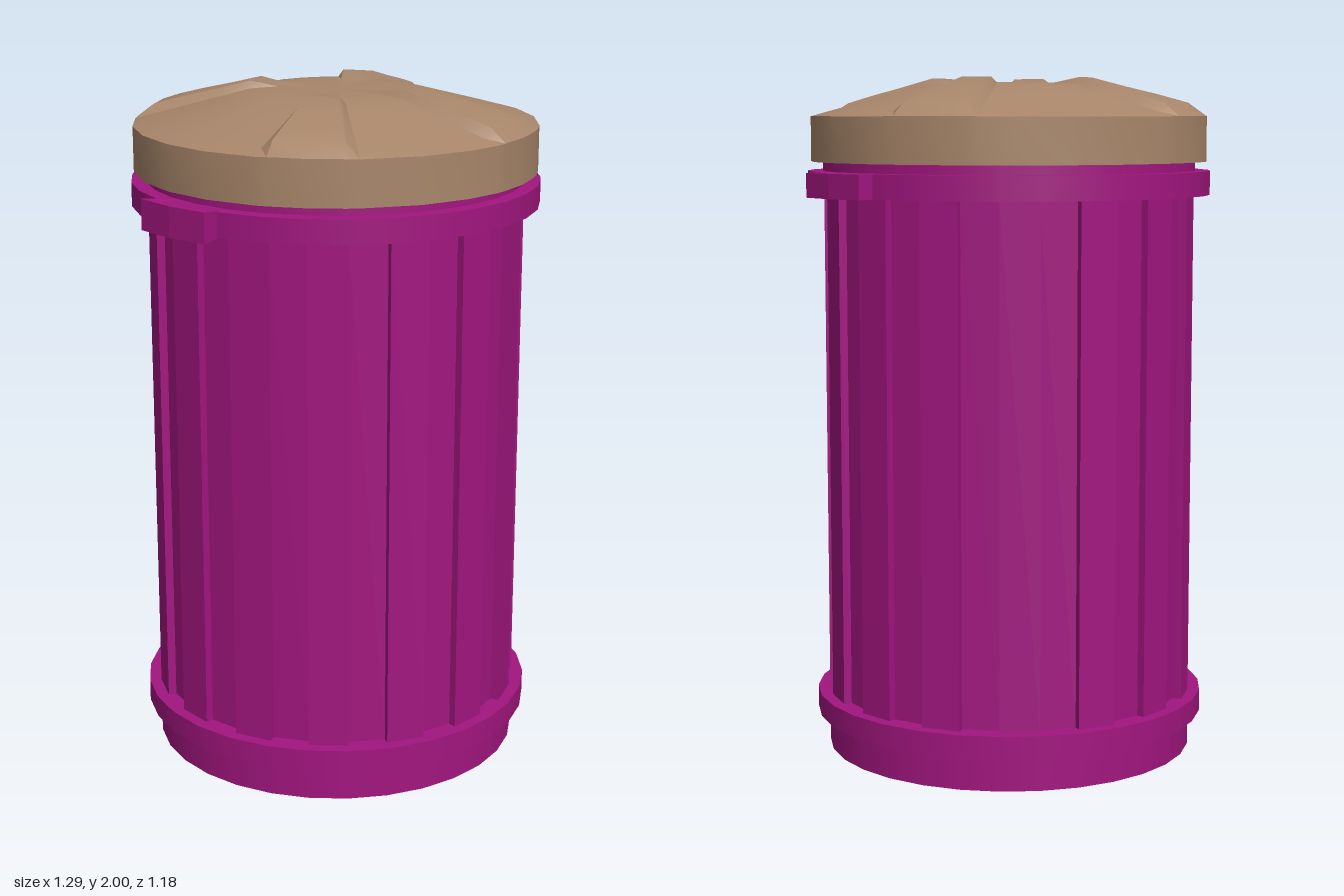
import * as THREE from 'three';
import { toCreasedNormals } from 'three/addons/utils/BufferGeometryUtils.js';

const rad = THREE.MathUtils.degToRad;

export function createModel() {
  const group = new THREE.Group();
  const bodyMat = new THREE.MeshStandardMaterial({ color: 0xa2167f });
  const lidMat = new THREE.MeshStandardMaterial({ color: 0xa8866a });

  function add(name, geometry, material) {
    const mesh = new THREE.Mesh(geometry, material);
    mesh.name = name;
    group.add(mesh);
  }

  // Upright extrusion of [x, z] plan points between two heights
  function prism(points, y0, y1) {
    const shape = new THREE.Shape(points.map(([x, z]) => new THREE.Vector2(x, -z)));
    return new THREE.ExtrudeGeometry(shape, { depth: y1 - y0, bevelEnabled: false })
      .rotateX(-Math.PI / 2).translate(0, y0, 0);
  }

  // Round sections: name, radius, bottom, top
  for (const [name, r, y0, y1] of [
    ['base', 0.547, 0, 0.11],
    ['lowerBand', 0.582, 0.105, 0.17],
    ['upperBand', 0.594, 1.66, 1.73],
    ['neck', 0.55, 1.72, 1.77],
  ]) {
    const ring = new THREE.CylinderGeometry(r, r, y1 - y0, 30, 1, false, Math.PI / 30);
    add(name, ring.translate(0, (y0 + y1) / 2, 0), bodyMat);
  }

  // Fluted wall: fifteen flat slats alternating with fifteen shallow recesses
  const plan = [];
  for (let k = 0; k < 15; k++) {
    for (const [r, a] of [[0.547, -6], [0.547, 6], [0.523, 6], [0.523, 18]]) {
      const t = rad(k * 24 + a);
      plan.push([r * Math.sin(t), r * Math.cos(t)]);
    }
  }
  add('flutedBody', prism(plan, 0.16, 1.67), bodyMat);

  // Side handles, slightly bowed in plan; the one on -x flares in height
  for (const side of [1, -1]) {
    const outline = [[0.56, 0.115], [0.635, 0.128], [0.647, 0], [0.635, -0.128], [0.56, -0.115]]
      .map(([x, z]) => [x * side, z]);
    const geo = prism(outline, 1.66, 1.73);
    if (side < 0) {
      const p = geo.attributes.position;
      for (let i = 0; i < p.count; i++) {
        if (p.getX(i) < -0.6) p.setY(i, p.getY(i) > 1.7 ? 1.738 : 1.65);
      }
      geo.computeVertexNormals();
    }
    add(side > 0 ? 'leftHandle' : 'rightHandle', geo, bodyMat);
  }

  // Lid: rings of [radius, height, lift of the raised wedges]
  const rings = [
    [0, 1.982, 0], [0.17, 1.985, 0], [0.25, 1.979, 0.021], [0.35, 1.952, 0.022],
    [0.45, 1.925, 0.025], [0.535, 1.902, 0.025], [0.585, 1.888, 0.001],
    [0.585, 1.757, 0], [0, 1.757, 0],
  ];
  const wedges = [-115.5, -28.5, 73, 143.5];
  const offset = (a, c) => Math.abs(((a - c + 540) % 360) - 180);

  // Spokes of [angle, raised]; wedge edges get a foot and a crest spoke
  const spokes = [];
  for (let k = 0; k < 24; k++) {
    const a = -172.5 + k * 15;
    if (wedges.every((c) => offset(a, c) > 16)) spokes.push([a, 0]);
  }
  for (const c of wedges) {
    spokes.push([c - 14, 0], [c - 10.5, 1], [c, 1], [c + 10.5, 1], [c + 14, 0]);
  }
  spokes.sort((a, b) => a[0] - b[0]);

  const n = spokes.length;
  const pos = [];
  const index = [];
  rings.forEach(([r, y, lift], i) => {
    spokes.forEach(([a, raised], j) => {
      pos.push(r * Math.cos(rad(a)), y + lift * raised, r * Math.sin(rad(a)));
      if (i === rings.length - 1) return;
      const p = i * n + j;
      const q = i * n + (j + 1) % n;
      if (i > 0) index.push(p, q, p + n);
      if (i < rings.length - 2) index.push(q, q + n, p + n);
    });
  });
  const lid = new THREE.BufferGeometry();
  lid.setAttribute('position', new THREE.Float32BufferAttribute(pos, 3));
  lid.setIndex(index);
  add('lid', toCreasedNormals(lid, rad(26)), lidMat);

  return group;
}
